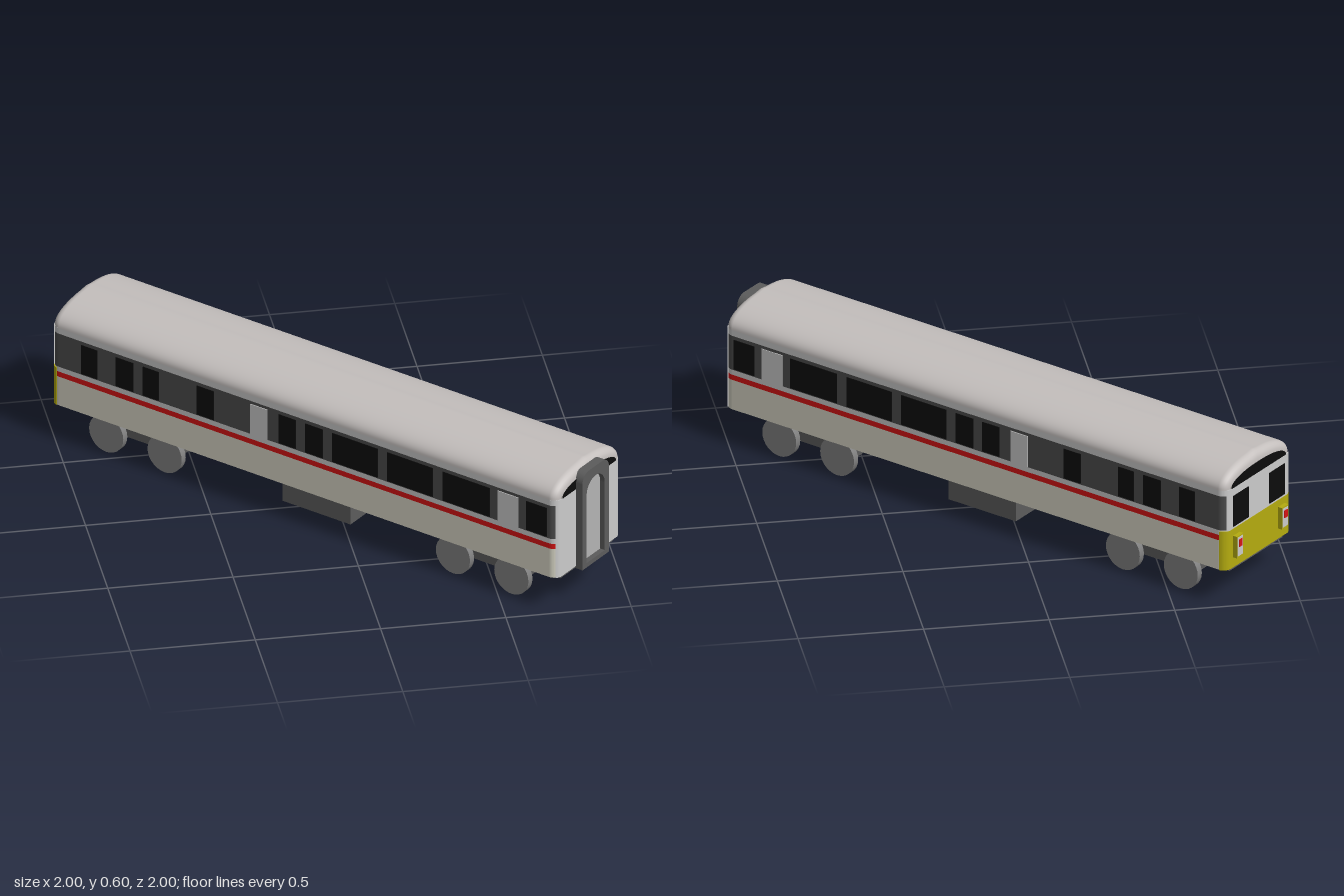
import * as THREE from 'three';

const L = 1.21, W = 0.222, R = 0.035; // half length, half width, corner radius
const EAVES = 0.51, RISE = 0.087;

const material = (color) => new THREE.MeshStandardMaterial({ color });
const MAT = {
  grey: material(0xcccccc), roof: material(0xc4bfbd), cream: material(0xd8d6c6), red: material(0xd81414),
  band: material(0x4c4c4c), black: material(0x0c0c0c), yellow: material(0xb5ac10),
  frame: material(0x5c5c5c), wheel: material(0x808080), floor: material(0x2c2c2c), door: material(0xb4b4b4),
};

export function createModel() {
  const model = new THREE.Group();
  const car = new THREE.Group();
  car.name = 'railCar';
  car.rotation.y = -Math.PI / 4;
  model.add(car);

  const add = (name, geometry, mat, parent = car) => {
    const mesh = new THREE.Mesh(geometry, mat);
    mesh.name = name;
    parent.add(mesh);
    return mesh;
  };
  // Box from its limits along length, height and width
  const box = (name, x0, x1, y0, y1, z0, z1, mat, parent) => {
    const mesh = add(name, new THREE.BoxGeometry(x1 - x0, y1 - y0, z1 - z0), mat, parent);
    mesh.position.set((x0 + x1) / 2, (y0 + y1) / 2, (z0 + z1) / 2);
    return mesh;
  };
  // Plan outline raised from y0 to y1
  const raise = (name, shape, y0, y1, mat) => {
    const geometry = new THREE.ExtrudeGeometry(shape, { depth: y1 - y0, bevelEnabled: false, curveSegments: 6 });
    add(name, geometry.rotateX(-Math.PI / 2).translate(0, y0, 0), mat);
  };
  // End-on outline extruded along the car from x0 to x1
  const alongCar = (name, shape, x0, x1, mat) => {
    const geometry = new THREE.ExtrudeGeometry(shape, { depth: x1 - x0, bevelEnabled: false, curveSegments: 16 });
    add(name, geometry.rotateY(Math.PI / 2).translate(x0, 0, 0), mat);
  };

  // Body: stacked bands with rounded corners, hollow at the bottom
  const plan = (path, inset) => {
    const a = L - R, b = W - R, r = R - inset, h = Math.PI / 2;
    path.absarc(a, b, r, 0, h);
    path.absarc(-a, b, r, h, 2 * h);
    path.absarc(-a, -b, r, 2 * h, 3 * h);
    path.absarc(a, -b, r, 3 * h, 4 * h);
    path.closePath();
    return path;
  };
  const solid = plan(new THREE.Shape(), 0);
  const hollow = plan(new THREE.Shape(), 0);
  hollow.holes.push(plan(new THREE.Path(), 0.012));
  raise('lowerSides', hollow, 0.16, 0.29, MAT.cream);
  raise('redStripe', solid, 0.29, 0.313, MAT.red);
  raise('waistBand', solid, 0.313, 0.335, MAT.grey);
  raise('windowBand', solid, 0.335, 0.485, MAT.band);
  raise('gutterBand', solid, 0.485, EAVES, MAT.grey);
  box('floor', -L + 0.02, L - 0.02, 0.175, 0.19, -W + 0.012, W - 0.012, MAT.floor);

  // End panels that wrap part of the way round the corners
  const endWrap = (name, end, angle, y0, y1, mat, out = 0.003) => {
    const shape = new THREE.Shape();
    const turn = end > 0 ? 0 : Math.PI;
    shape.absarc(end * (L - R), -end * (W - R), R + out, turn - angle, turn);
    shape.absarc(end * (L - R), end * (W - R), R + out, turn, turn + angle);
    shape.closePath();
    raise(name, shape, y0, y1, mat);
  };
  endWrap('gangwayEndWall', 1, 0.8, 0.16, EAVES, MAT.grey);
  endWrap('cabEndWall', -1, 0.6, 0.33, EAVES, MAT.grey);
  endWrap('yellowEnd', -1, 1.35, 0.16, 0.33, MAT.yellow, 0.004);

  // Side windows and light door panels, the same on both sides
  const windows = [[-1.065, -0.99], [-0.9, -0.816], [-0.77, -0.695], [-0.513, -0.43], [-0.12, -0.037],
    [0.008, 0.092], [0.137, 0.356], [0.401, 0.62], [0.666, 0.893], [1.067, 1.165]];
  const doors = [[-0.256, -0.173], [0.93, 1.03]];
  for (const side of [-1, 1]) {
    const z = side * W;
    for (const [a, b] of windows) box('sideWindow', a, b, 0.34, 0.47, z - 0.003, z + 0.003, MAT.black);
    for (const [a, b] of doors) box('doorPanel', a, b, 0.335, 0.472, z - 0.003, z + 0.003, MAT.grey);
    // Cab windows and lamps
    const c = side * 0.122;
    box('cabWindow', -L - 0.006, -L, 0.34, 0.475, c - 0.052, c + 0.052, MAT.black);
    const p = side * 0.152;
    box('lampHousing', -L - 0.022, -L, 0.205, 0.3, p - 0.022, p + 0.022, MAT.yellow);
    box('lampPlate', -L - 0.024, -L - 0.02, 0.212, 0.294, p - 0.017, p + 0.017, MAT.grey);
    box('tailLamp', -L - 0.027, -L - 0.022, 0.252, 0.284, p - 0.011, p + 0.011, MAT.red);
  }

  // Roof: arched grid, rounded over at both ends, with a faint centre ridge
  const arch = (t, inset) => {
    const c = Math.cos(t), s = Math.max(0, Math.sin(t));
    return [(W - inset) * Math.sign(c) * Math.abs(c) ** 0.9, EAVES + (RISE - inset) * s ** 0.9];
  };
  const steps = 6, stations = [];
  for (let i = 0; i <= steps; i++) {
    const a = (i / steps) * Math.PI / 2;
    stations.push([L - R + R * Math.cos(a), R * (1 - Math.sin(a))]);
  }
  const sections = [...stations.map(([x, inset]) => [-x, inset]), ...stations.slice().reverse()];
  const across = 48;
  const roof = new THREE.PlaneGeometry(1, 1, sections.length - 1, across);
  const pos = roof.attributes.position;
  for (let i = 0; i < pos.count; i++) {
    const [x, inset] = sections[Math.round((pos.getX(i) + 0.5) * (sections.length - 1))];
    const [z, y] = arch((pos.getY(i) + 0.5) * Math.PI, inset);
    pos.setXYZ(i, x, y + 0.005 * Math.exp(-((z / 0.02) ** 2)) * (1 - inset / R), z);
  }
  roof.computeVertexNormals();
  add('roof', roof, MAT.roof);

  // Arched panels closing the roof ends
  const archShape = (inset) => {
    const points = [];
    for (let i = 0; i <= 24; i++) points.push(new THREE.Vector2(...arch((i / 24) * Math.PI, inset)));
    return new THREE.Shape(points);
  };
  for (const end of [-1, 1]) {
    alongCar('roofEndRim', archShape(R), end * L - 0.002, end * L + 0.002, MAT.roof);
    alongCar('roofEndPanel', archShape(R + 0.004), end * L - 0.004, end * L + 0.004, MAT.black);
    box('endBeam', end * (L - 0.03) - 0.02, end * (L - 0.03) + 0.02, 0.142, 0.18, -0.18, 0.18, MAT.frame);
  }

  // Gangway: portal frame with an arched opening and a door behind it
  const portal = new THREE.Shape();
  const g = 0.091, top = 0.583, c = 0.045;
  portal.moveTo(-g, 0.15);
  portal.lineTo(g, 0.15);
  portal.absarc(g - c, top - c, c, 0, Math.PI / 2);
  portal.absarc(c - g, top - c, c, Math.PI / 2, Math.PI);
  portal.closePath();
  const doorway = (path, w) => {
    path.moveTo(-w, 0.17);
    path.lineTo(w, 0.17);
    path.absarc(0, 0.54 - w, w, 0, Math.PI);
    path.closePath();
    return path;
  };
  portal.holes.push(doorway(new THREE.Path(), 0.062));
  alongCar('gangwayFrame', portal, L - 0.005, 1.244, MAT.frame);
  alongCar('gangwayDoor', doorway(new THREE.Shape(), 0.064), L, L + 0.012, MAT.door);

  // Bogies: two axles each, with a central frame
  for (const end of [-1, 1]) {
    const bogie = new THREE.Group();
    bogie.name = 'bogie';
    bogie.position.x = end * 0.831;
    car.add(bogie);
    box('bogieFrame', -0.18, 0.18, 0.06, 0.115, -0.13, 0.13, MAT.frame, bogie);
    box('bolster', -0.07, 0.07, 0.115, 0.178, -0.1, 0.1, MAT.frame, bogie);
    for (const x of [-0.14, 0.14]) {
      const axle = add('axle', new THREE.CylinderGeometry(0.015, 0.015, 0.34, 12).rotateX(Math.PI / 2), MAT.frame, bogie);
      axle.position.set(x, 0.082, 0);
      for (const z of [-0.174, 0.174]) {
        const wheel = add('wheel', new THREE.CylinderGeometry(0.082, 0.082, 0.028, 28).rotateX(Math.PI / 2), MAT.wheel, bogie);
        wheel.position.set(x, 0.082, z);
      }
    }
  }

  // Equipment box under the floor
  box('equipmentBox', -0.15, 0.177, 0.035, 0.178, -0.155, 0.155, MAT.frame);

  return model;
}
